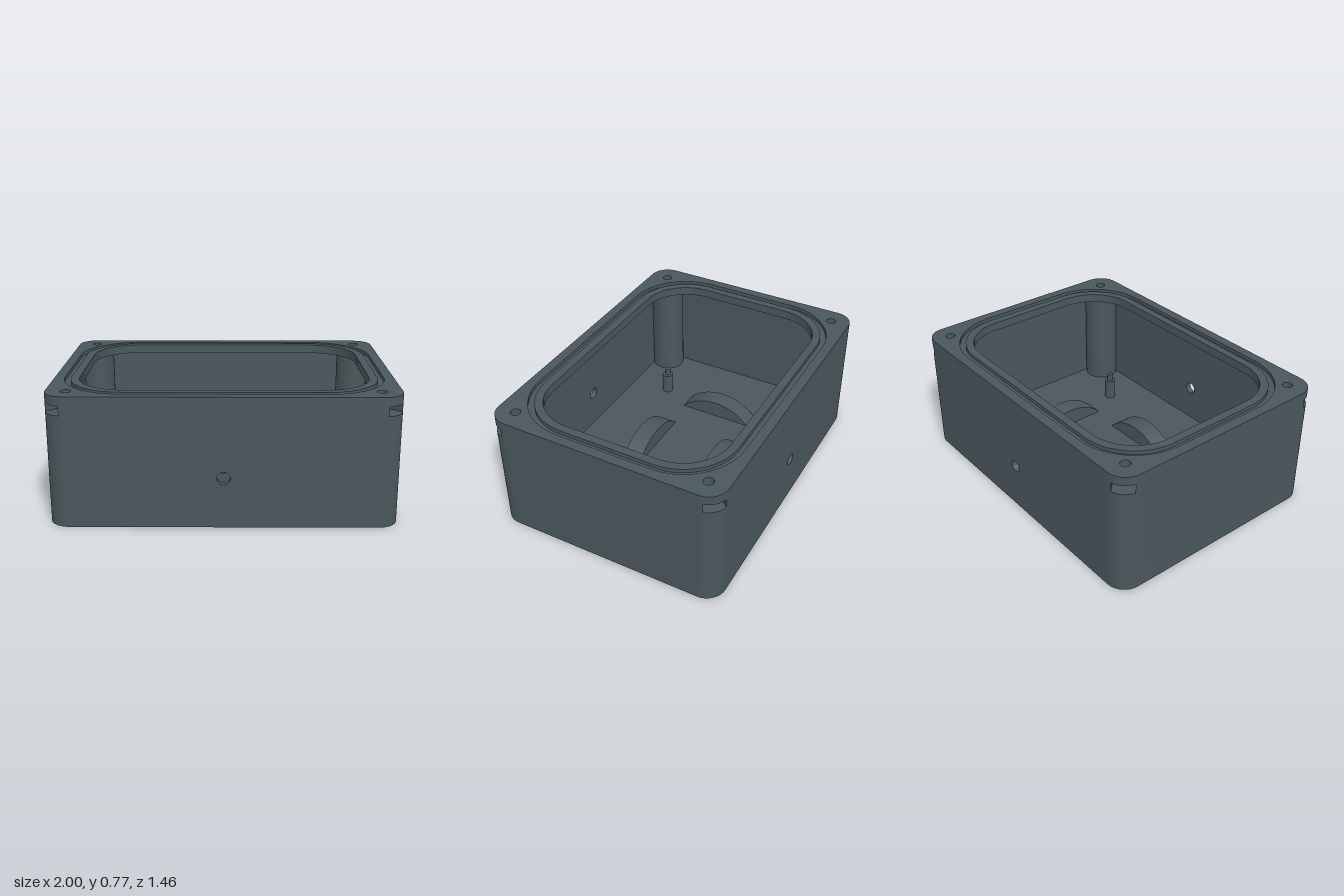
import * as THREE from 'three';
import { toCreasedNormals } from 'three/addons/utils/BufferGeometryUtils.js';

const PI = Math.PI;
const HX = 1, HZ = 0.732, R = 0.12;         // outer half sizes and corner radius
const IX = 0.964, IZ = 0.696;               // cavity half sizes
const FLOOR = 0.07, SLOT = 0.66, LIP = 0.715, GROOVE = 0.747, TOP = 0.77;
const SCREW = [0.882, 0.613], BOSS = 0.11, GAP = 0.3;

// rounded rectangle centred on the origin
function roundRect(Type, hx, hz, r) {
  const s = new Type();
  s.absarc(hx - r, hz - r, r, 0, PI / 2);
  s.absarc(r - hx, hz - r, r, PI / 2, PI);
  s.absarc(r - hx, r - hz, r, PI, 1.5 * PI);
  s.absarc(hx - r, r - hz, r, 1.5 * PI, 2 * PI);
  s.closePath();
  return s;
}

function rect(Type, cx, cy, hx, hy) {
  return new Type([[-1, -1], [1, -1], [1, 1], [-1, 1]].map(([a, b]) => new THREE.Vector2(cx + a * hx, cy + b * hy)));
}

function circle(x, y, r) {
  return new THREE.Path().absarc(x, y, r, 0, 2 * PI);
}

// half of the wall ring with two corner bosses, optionally notched for the nuts
function halfWall(notched) {
  const s = new THREE.Shape();
  const corner = (sign, start) => {
    const cx = HX - R, cz = sign * (HZ - R), mid = start + PI / 4;
    if (!notched) { s.absarc(cx, cz, R, start, start + PI / 2); return; }
    const w = 0.063, b = Math.asin(w / R), c = Math.cos(mid), n = Math.sin(mid);
    s.absarc(cx, cz, R, start, mid - b);
    for (const [u, v] of [[-0.036, -w], [-0.072, 0], [-0.036, w]]) s.lineTo(cx + u * c - v * n, cz + u * n + v * c);
    s.absarc(cx, cz, R, mid + b, start + PI / 2);
  };
  s.moveTo(GAP, -IZ);
  s.lineTo(GAP, -HZ);
  corner(-1, -PI / 2);
  corner(1, 0);
  s.lineTo(GAP, HZ);
  s.lineTo(GAP, IZ);
  const dx = IX - SCREW[0], dz = IZ - SCREW[1];
  const a = PI - Math.asin(dz / BOSS), b = 2 * PI - Math.acos(dx / BOSS);
  s.absarc(SCREW[0], SCREW[1], BOSS, a, b);
  s.absarc(SCREW[0], -SCREW[1], BOSS, 2 * PI - b, 2 * PI - a);
  s.closePath();
  if (!notched) for (const z of [-1, 1]) s.holes.push(circle(SCREW[0], z * SCREW[1], 0.03));
  return s;
}

// points of an arc about (0, cy), cut off at height y
function arcPoints(r, cy, y) {
  const a = Math.acos((y - cy) / r), pts = [];
  for (let i = 0; i <= 24; i++) {
    const t = -a + (2 * a * i) / 24;
    pts.push(new THREE.Vector2(r * Math.sin(t), cy + r * Math.cos(t)));
  }
  return pts;
}

export function createModel() {
  const group = new THREE.Group();
  group.name = 'enclosure';
  const mat = new THREE.MeshStandardMaterial({ color: 0x4a575c, side: THREE.DoubleSide });
  mat.name = 'slate grey';

  function add(name, geo, parent = group) {
    const mesh = new THREE.Mesh(geo, mat);
    mesh.name = name;
    parent.add(mesh);
    return mesh;
  }
  // upright extrusion of an x/z outline
  function slab(name, shape, y0, y1) {
    const g = new THREE.ExtrudeGeometry(shape, { depth: y1 - y0, bevelEnabled: false, curveSegments: 20 });
    g.rotateX(PI / 2).translate(0, y1, 0);
    return add(name, toCreasedNormals(g, 0.5));
  }

  // side walls with corner bosses and nut slots
  for (const turn of [0, PI]) {
    slab('sideWall', halfWall(false), 0, SLOT).rotation.y = turn;
    slab('nutSlotWall', halfWall(true), SLOT, LIP).rotation.y = turn;
  }

  // middle panels of the front and back, each with a cable hole
  for (const z of [IZ, -HZ]) {
    const s = rect(THREE.Shape, 0, LIP / 2, GAP, LIP / 2);
    s.holes.push(circle(0, 0.297, 0.038));
    const g = new THREE.ExtrudeGeometry(s, { depth: HZ - IZ, bevelEnabled: false, curveSegments: 20 });
    add(z > 0 ? 'frontPanel' : 'backPanel', toCreasedNormals(g.translate(0, 0, z), 0.5));
  }

  // top lip: seat plate, then the two rims either side of the seal groove
  const screwHoles = () => [-1, 1].flatMap(x => [-1, 1].map(z => circle(x * SCREW[0], z * SCREW[1], 0.03)));
  const opening = () => roundRect(THREE.Path, 0.853, 0.585, 0.29);
  const seat = roundRect(THREE.Shape, HX, HZ, R);
  seat.holes.push(opening(), ...screwHoles());
  slab('lipSeat', seat, LIP, GROOVE);
  const outer = roundRect(THREE.Shape, HX, HZ, R);
  outer.holes.push(roundRect(THREE.Path, 0.94, 0.672, 0.376), ...screwHoles());
  slab('outerRim', outer, GROOVE, TOP);
  const inner = roundRect(THREE.Shape, 0.903, 0.635, 0.34);
  inner.holes.push(opening());
  slab('innerRim', inner, GROOVE, TOP);

  // strap guides: arched bumps on the floor with a curved channel open below
  const CY = -0.15, RB = 0.326, RO = 0.3, RI = 0.238, WB = 0.06, WC = 0.052;
  const half = (r, y) => Math.sqrt(r * r - (y - CY) ** 2);
  const guides = [[0.495, 0, true], [-0.495, 0, true], [0, 0.262, false], [0, -0.268, false]];
  const arch = (r, y, w) => {
    const a = Math.acos((y - CY) / r);
    const g = new THREE.CylinderGeometry(r, r, 2 * w, 32, 1, true, PI - a, 2 * a);
    return g.rotateX(PI / 2).translate(0, CY, 0);
  };
  for (const [x, z, alongZ] of guides) {
    const guide = new THREE.Group();
    guide.name = 'strapGuide';
    guide.position.set(x, 0, z);
    if (alongZ) guide.rotation.y = PI / 2;
    group.add(guide);
    add('bumpTop', arch(RB, FLOOR, WB), guide);
    add('channelRoof', arch(RO, 0, WC), guide);
    add('channelSaddle', arch(RI, 0, WC), guide);
    const bumpSide = new THREE.Shape(arcPoints(RB, CY, FLOOR));
    const channelSide = new THREE.Shape([...arcPoints(RO, CY, 0), ...arcPoints(RI, CY, 0).reverse()]);
    for (const s of [-1, 1]) {
      const flip = s < 0 ? PI : 0;
      const b = add('bumpSide', new THREE.ShapeGeometry(bumpSide), guide);
      b.position.z = s * WB;
      b.rotation.y = flip;
      const c = add('channelSide', new THREE.ShapeGeometry(channelSide), guide);
      c.position.z = s * WC;
      c.rotation.y = PI - flip;
    }
  }

  // floor: inner face open under the bumps, underside with the strap slots
  const top = rect(THREE.Shape, 0, 0, IX, IZ);
  const bottom = roundRect(THREE.Shape, HX, HZ, R);
  const d0 = half(RI, 0), d1 = half(RO, 0), dm = (d0 + d1) / 2, dh = (d1 - d0) / 2, L = half(RB, FLOOR);
  for (const [x, z, alongZ] of guides) {
    top.holes.push(alongZ ? rect(THREE.Path, x, -z, WB, L) : rect(THREE.Path, x, -z, L, WB));
    for (const s of [-1, 1]) {
      bottom.holes.push(alongZ ? rect(THREE.Path, x, z + s * dm, WC, dh) : rect(THREE.Path, x + s * dm, z, dh, WC));
    }
  }
  add('floor', new THREE.ShapeGeometry(top).rotateX(-PI / 2).translate(0, FLOOR, 0));
  add('underside', new THREE.ShapeGeometry(bottom, 20).rotateX(PI / 2));

  // board standoffs with locating pins
  for (const x of [-0.553, 0.553]) for (const z of [-0.435, 0.435]) {
    add('standoff', new THREE.CylinderGeometry(0.037, 0.037, 0.14, 24)).position.set(x, 0.135, z);
    add('standoffPin', new THREE.CylinderGeometry(0.018, 0.018, 0.06, 20)).position.set(x, 0.222, z);
  }
  return group;
}
